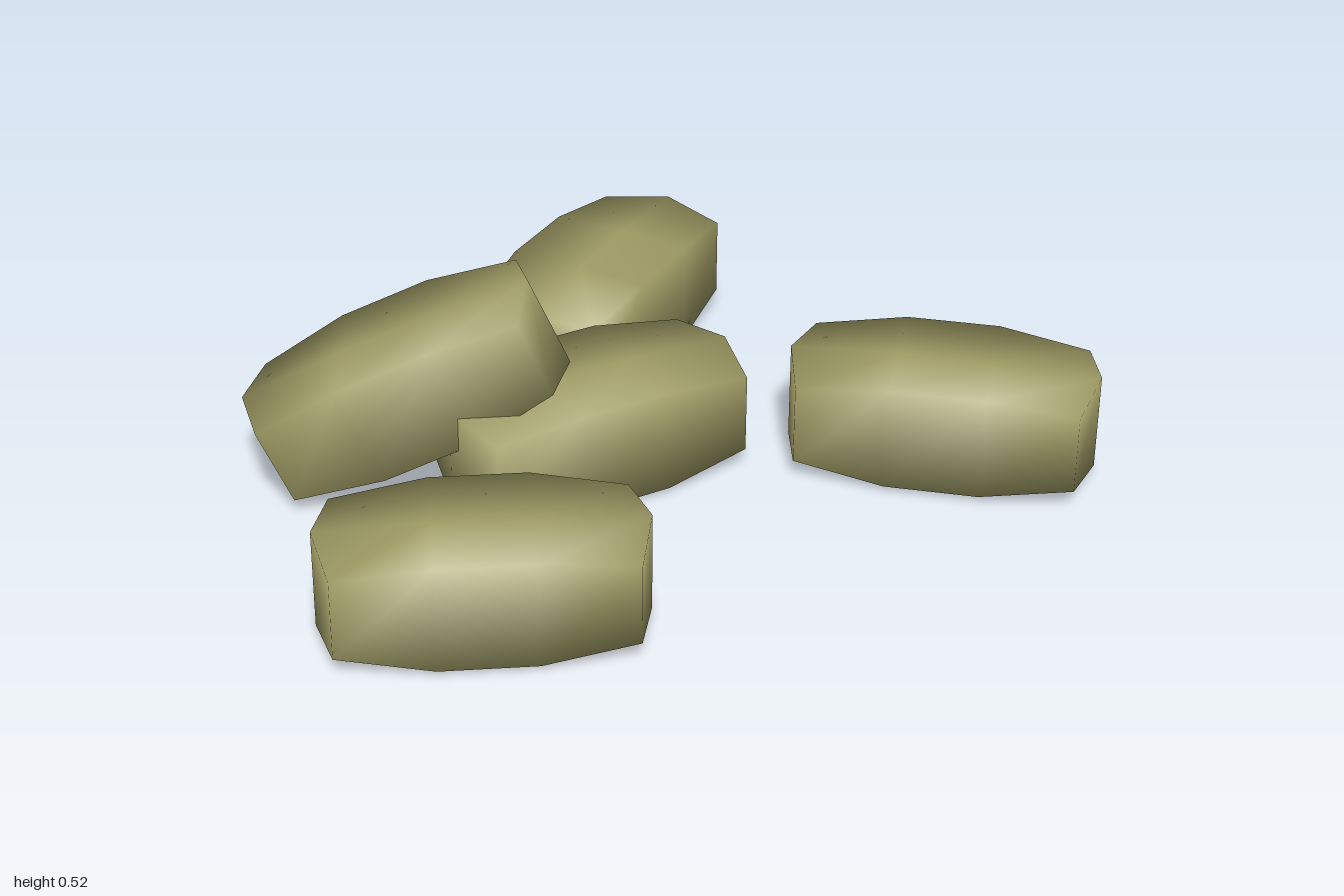
import * as THREE from 'three';
import { mergeVertices } from 'three/addons/utils/BufferGeometryUtils.js';

// Stuffed bag: a 3 x 1 x 2 segment box with bulging sides and pinched corners
function bagGeometry() {
  const g = new THREE.BoxGeometry(3, 1, 2, 3, 1, 2);
  g.deleteAttribute('uv');
  g.deleteAttribute('normal');
  const p = g.attributes.position;
  for (let i = 0; i < p.count; i++) {
    const x = p.getX(i), y = p.getY(i), z = p.getZ(i);
    const end = Math.abs(x) > 1, side = Math.abs(z) > 0.5;
    const halfLength = end ? (side ? 0.331 : 0.368) : 0.112;
    const halfHeight = end ? (side ? 0.098 : 0.12) : (side ? 0.129 : 0.131);
    const halfWidth = side ? (end ? 0.165 : 0.185) : 0;
    p.setXYZ(i, Math.sign(x) * halfLength, Math.sign(y) * halfHeight, Math.sign(z) * halfWidth);
  }
  const smooth = mergeVertices(g, 1e-4);
  smooth.computeVertexNormals();
  return smooth;
}

export function createModel() {
  const group = new THREE.Group();
  group.name = 'sandbagPile';
  const canvas = new THREE.MeshStandardMaterial({ color: 0xa19d66 });
  canvas.name = 'olive canvas';
  const geometry = bagGeometry();

  // name, centre x, y, z, heading and tilt in degrees
  const bags = [
    ['frontRightBag', -0.632, 0.148, 0.507, -24, 0],
    ['frontLeftBag', 0.641, 0.148, 0.41, -41.3, 0],
    ['backBag', 0.2, 0.148, -0.478, 32.2, 0],
    ['middleBag', -0.118, 0.148, 0.05, 0, 0],
    ['leaningBag', -0.505, 0.265, -0.141, -27, 24],
  ];
  for (const [name, x, y, z, heading, tilt] of bags) {
    const bag = new THREE.Mesh(geometry, canvas);
    bag.name = name;
    bag.position.set(x, y, z);
    bag.rotation.set(0, THREE.MathUtils.degToRad(heading), THREE.MathUtils.degToRad(tilt));
    group.add(bag);
  }
  return group;
}
